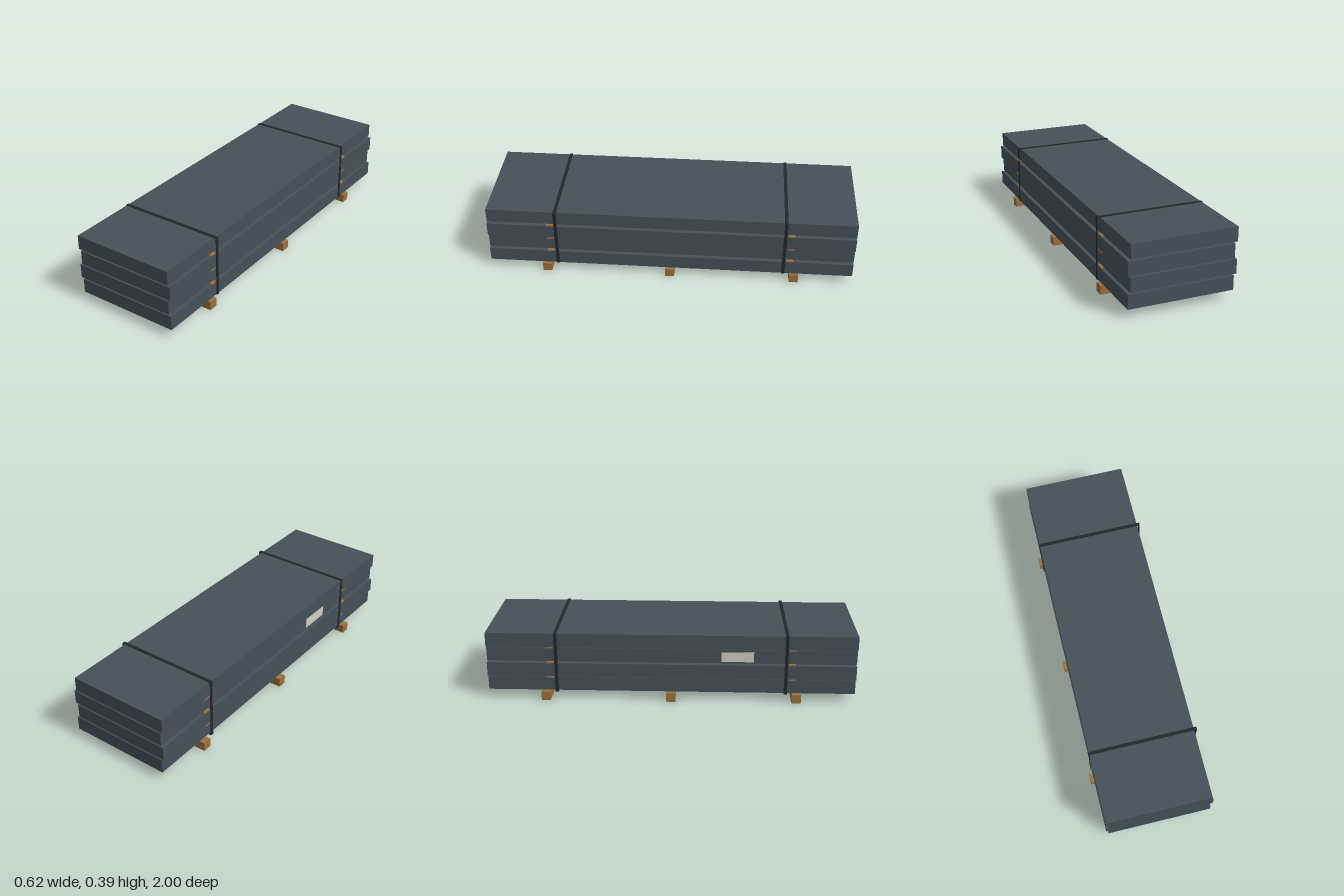
import * as THREE from 'three';

const flat = (name, color) => {
  const m = new THREE.MeshStandardMaterial({ color });
  m.name = name;
  return m;
};

export function createModel() {
  const slate = flat('slateSheet', 0x465058);
  const wood = flat('wood', 0x9a7040);
  const strapDark = flat('strapDark', 0x20282e);
  const paper = flat('paperLabel', 0xcfcfc4);

  const model = new THREE.Group();
  model.name = 'strappedBundleStack';

  const box = (parent, name, mat, size, pos) => {
    const mesh = new THREE.Mesh(new THREE.BoxGeometry(...size), mat);
    mesh.name = name;
    mesh.position.set(...pos);
    parent.add(mesh);
    return mesh;
  };

  const baseY = 0.049, slabH = 0.0775, gap = 0.0077, pitch = slabH + gap;
  const topY = baseY + 4 * slabH + 3 * gap;

  // Bearers on the ground
  for (const z of [-0.682, 0, 0.682])
    box(model, 'bearer', wood, [0.616, baseY, 0.05], [0, baseY / 2, z]);

  // Four bundles, staggered left and right
  for (let i = 0; i < 4; i++) {
    const x = i % 2 ? -0.0065 : 0.0065;
    box(model, 'bundle', slate, [0.569, slabH, 2], [x, baseY + slabH / 2 + i * pitch, 0]);
  }

  // Thin spacer strips in the gaps
  for (let i = 1; i < 4; i++)
    for (const z of [-0.655, 0.655])
      box(model, 'spacer', wood, [0.583, 0.009, 0.038], [0, baseY + i * pitch - gap / 2, z]);

  // Straps wrapped around the whole stack
  const t = 0.003, w = 0.018, halfW = 0.292;
  for (const z of [-0.622, 0.622]) {
    const strap = new THREE.Group();
    strap.name = 'strap';
    strap.position.z = z;
    for (const s of [-1, 1])
      box(strap, 'strapSide', strapDark, [t, topY - baseY + 2 * t, w], [s * halfW, (topY + baseY) / 2, 0]);
    for (const y of [baseY - t / 2, topY + t / 2])
      box(strap, 'strapAcross', strapDark, [2 * halfW - t, t, w], [0, y, 0]);
    model.add(strap);
  }

  // Paper label on the third bundle
  box(model, 'label', paper, [0.004, 0.055, 0.175], [-0.279, 0.256, 0.36]);

  return model;
}
